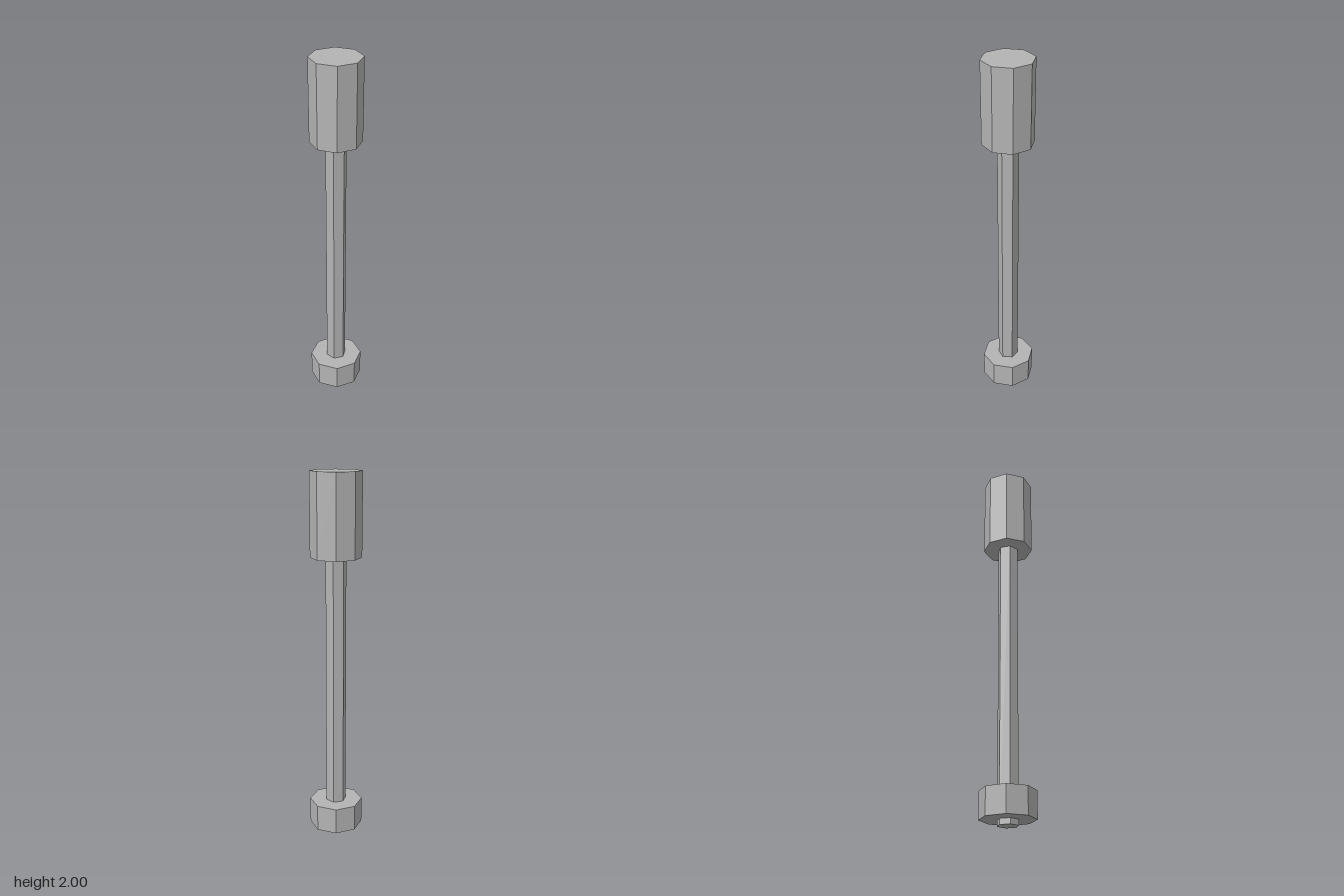
import * as THREE from 'three';

export function createModel() {
  const model = new THREE.Group();
  const greyMetal = new THREE.MeshStandardMaterial({ color: 0xb4b4b4 });
  greyMetal.name = 'greyMetal';

  // Faceted upright prism between two heights, with a corner towards +z
  function addPrism(name, radius, bottom, top, sides) {
    const geometry = new THREE.CylinderGeometry(radius, radius, top - bottom, sides).toNonIndexed();
    geometry.computeVertexNormals(); // flat facets
    const mesh = new THREE.Mesh(geometry, greyMetal);
    mesh.name = name;
    mesh.position.y = (bottom + top) / 2;
    model.add(mesh);
  }

  // Hexagonal rod, poking out slightly below the collar
  addPrism('shaft', 0.056, 0, 1.6, 6);
  // Wide octagonal collar near the foot
  addPrism('collar', 0.146, 0.03, 0.175, 8);
  // Tall octagonal block at the top
  addPrism('head', 0.136, 1.56, 2, 8);

  return model;
}
